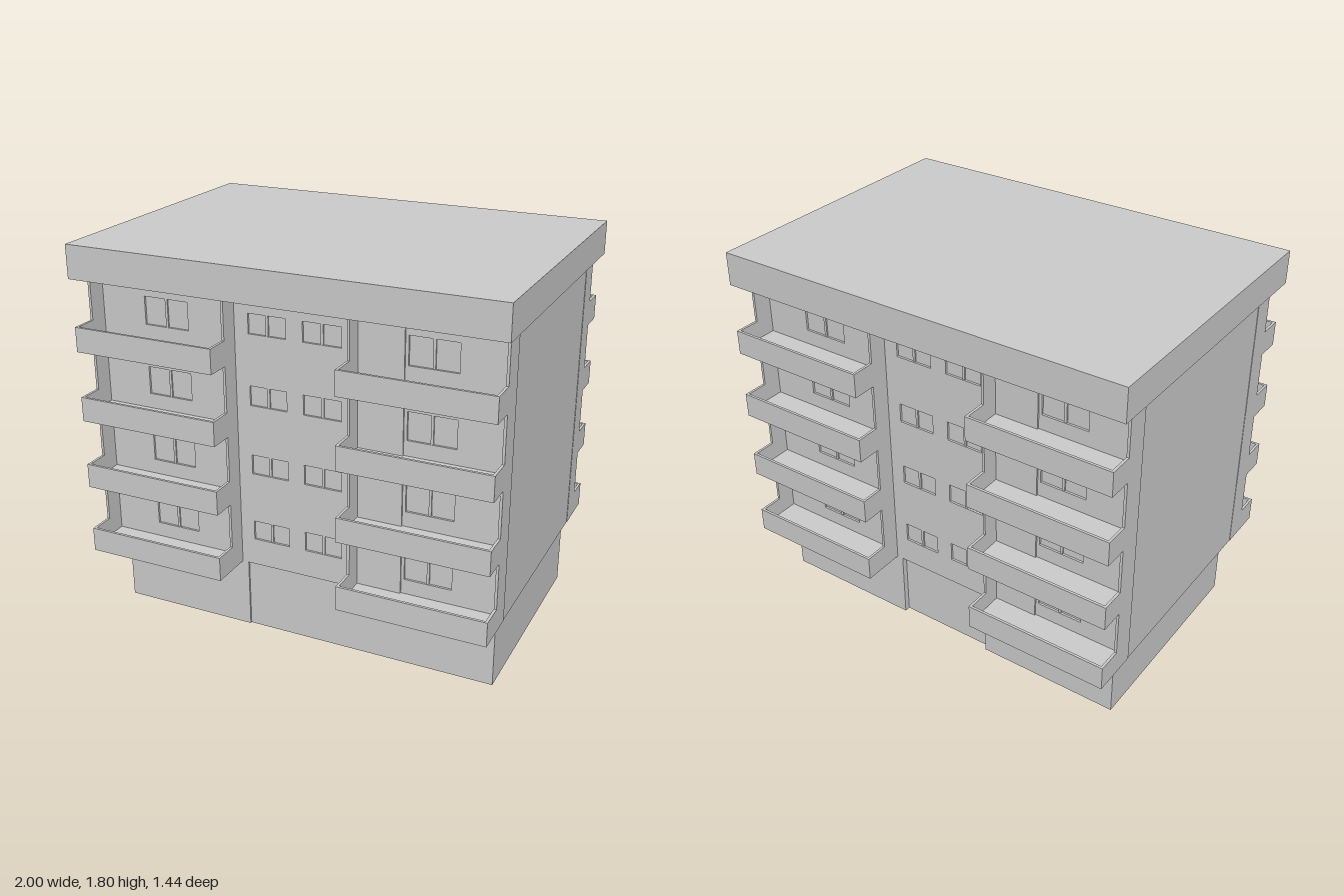
import * as THREE from 'three';

const mat = new THREE.MeshStandardMaterial({ color: 0xcccccc, flatShading: true });
const FLOORS = [0.33, 0.66, 0.99, 1.32];
const BOTTOM = 0.33, TOP = 1.645, WALL = 0.517, FIN = 0.607, RAIL = 0.722;

// Box given by its lower and upper limits on each axis
function box(parent, name, x0, x1, y0, y1, z0, z1) {
  const mesh = new THREE.Mesh(new THREE.BoxGeometry(x1 - x0, y1 - y0, z1 - z0), mat);
  mesh.position.set((x0 + x1) / 2, (y0 + y1) / 2, (z0 + z1) / 2);
  mesh.name = name;
  parent.add(mesh);
}

function rectHole(x0, x1, y0, y1) {
  const p = new THREE.Path();
  p.moveTo(x0, y0).lineTo(x0, y1).lineTo(x1, y1).lineTo(x1, y0).closePath();
  return p;
}

// Hollow balcony: floor slab and thin parapets on three sides
function balcony(x0, x1, y) {
  const g = new THREE.Group(), t = 0.012, h = 0.115;
  g.name = 'balcony';
  box(g, 'balconyFloor', x0, x1, y, y + 0.03, WALL - 0.01, RAIL);
  box(g, 'balconyFront', x0, x1, y + 0.03, y + h, RAIL - t, RAIL);
  box(g, 'balconyEnd', x0, x0 + t, y + 0.03, y + h, WALL, RAIL - t);
  box(g, 'balconyEnd', x1 - t, x1, y + 0.03, y + h, WALL, RAIL - t);
  return g;
}

// One long side of the building, facing +z
function facade() {
  const g = new THREE.Group(), depth = 0.02;
  g.name = 'facade';

  // Wall panel with window openings
  const wall = new THREE.Shape();
  wall.moveTo(-0.965, BOTTOM).lineTo(0.965, BOTTOM).lineTo(0.965, TOP).lineTo(-0.965, TOP).closePath();
  for (const y of FLOORS) {
    const windows = [
      [-0.22, -0.04, y + 0.13, y + 0.222], [0.04, 0.22, y + 0.13, y + 0.222],
      [-0.74, -0.52, y + 0.1, y + 0.23], [0.52, 0.74, y + 0.1, y + 0.23],
    ];
    for (const [x0, x1, y0, y1] of windows) {
      wall.holes.push(rectHole(x0, x1, y0, y1));
      const mid = (x0 + x1) / 2;
      box(g, 'windowPane', x0, x1, y0, y1, WALL - depth, WALL - 0.01);
      box(g, 'windowMullion', mid - 0.006, mid + 0.006, y0, y1, WALL - 0.01, WALL - 0.003);
    }
  }
  const panel = new THREE.Mesh(new THREE.ExtrudeGeometry(wall, { depth, bevelEnabled: false }), mat);
  panel.position.z = WALL - depth;
  panel.name = 'facadeWall';
  g.add(panel);

  // Slightly raised strip of wall inside one column of balconies
  box(g, 'wallStrip', 0.29, 0.506, BOTTOM, TOP, WALL, WALL + 0.008);

  // Full-height fins on both sides of each balcony column
  for (const x of [-0.972, -0.299, 0.287, 0.96])
    box(g, 'dividingFin', x, x + 0.012, BOTTOM, TOP, WALL - depth, FIN);

  for (const y of FLOORS) g.add(balcony(-0.972, -0.287, y), balcony(0.287, 0.972, y));
  return g;
}

export function createModel() {
  const model = new THREE.Group();
  model.name = 'apartmentBlock';

  // Ground storey with a shallow entrance recess at the back
  const plan = new THREE.Shape([
    [-0.914, -0.517], [-0.257, -0.517], [-0.257, -0.508], [0.941, -0.508],
    [0.941, 0.517], [0.257, 0.517], [0.257, 0.49], [-0.226, 0.49],
    [-0.226, 0.517], [-0.914, 0.517],
  ].map(([x, y]) => new THREE.Vector2(x, y)));
  const base = new THREE.Mesh(new THREE.ExtrudeGeometry(plan, { depth: BOTTOM, bevelEnabled: false }), mat);
  base.rotation.x = -Math.PI / 2;
  base.name = 'groundStorey';
  model.add(base);

  // Upper storeys
  box(model, 'core', -0.97, 0.97, BOTTOM, TOP, -WALL + 0.02, WALL - 0.02);

  // Matching facades front and back
  const front = facade();
  const back = facade();
  back.rotation.y = Math.PI;
  back.name = 'backFacade';
  front.name = 'frontFacade';
  model.add(front, back);

  // Overhanging flat roof
  box(model, 'roof', -1, 1, TOP, 1.8, -0.7, 0.704);
  return model;
}
